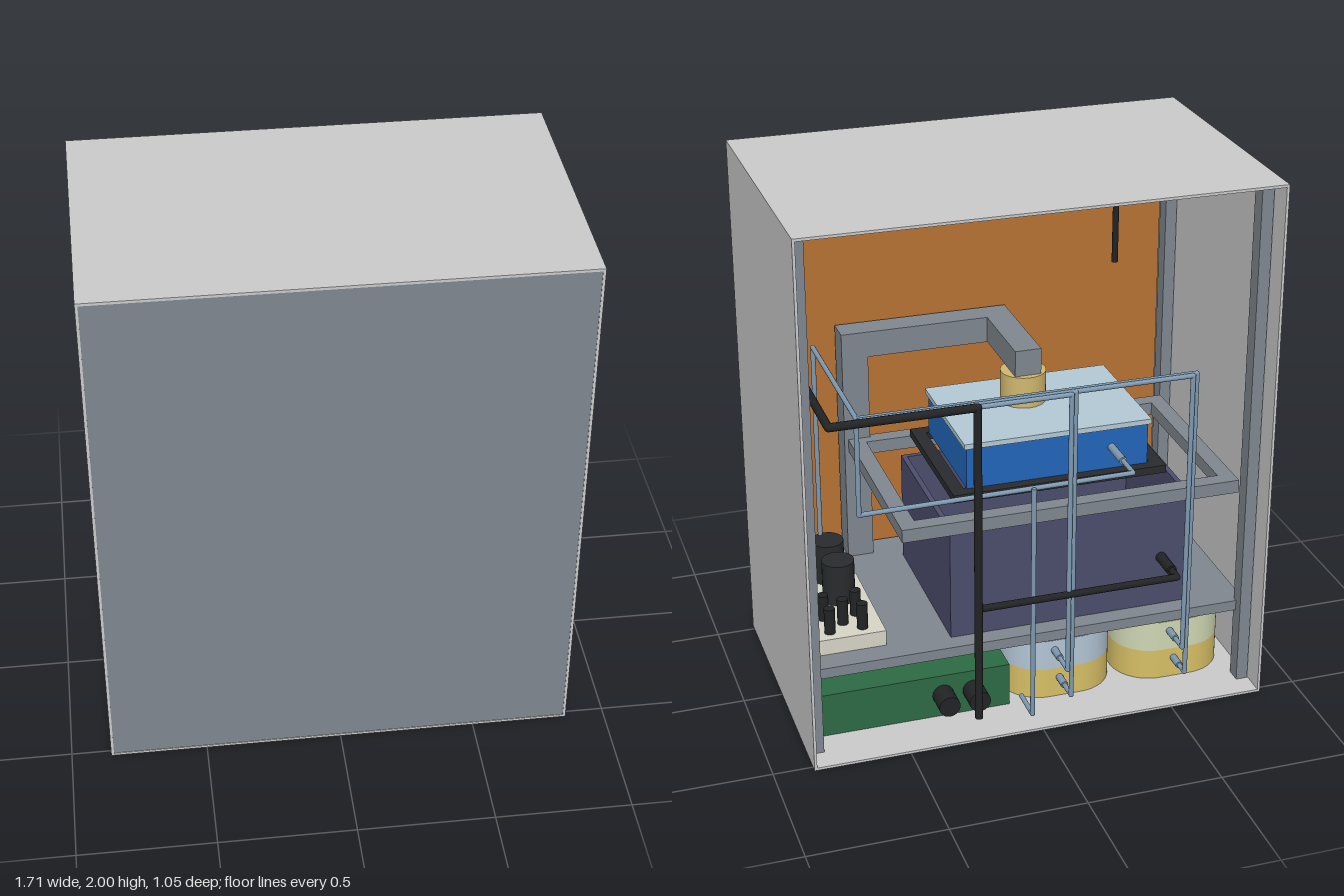
import * as THREE from 'three';

const BACK = -0.525; // depths below are measured forward from the open back

export function createModel() {
  const model = new THREE.Group();
  const mats = {};
  const mat = (color) => (mats[color] ??= new THREE.MeshStandardMaterial({ color }));

  const add = (name, geo, color, parent = model) => {
    const m = new THREE.Mesh(geo, mat(color));
    m.name = name;
    parent.add(m);
    return m;
  };
  // box from ranges: x, y and depth
  const box = (name, color, [x0, x1], [y0, y1], [d0, d1]) => {
    const m = add(name, new THREE.BoxGeometry(x1 - x0, y1 - y0, d1 - d0), color);
    m.position.set((x0 + x1) / 2, (y0 + y1) / 2, (d0 + d1) / 2 + BACK);
    return m;
  };
  // upright cylinder standing on y
  const post = (name, color, r, h, x, y, d) => {
    const m = add(name, new THREE.CylinderGeometry(r, r, h, 24), color);
    m.position.set(x, y + h / 2, d + BACK);
    return m;
  };
  // pipe through a list of [x, y, depth] corners
  const pipe = (name, color, r, pts) => {
    const g = new THREE.Group();
    g.name = name;
    const v = pts.map(([x, y, d]) => new THREE.Vector3(x, y, d + BACK));
    for (let i = 0; i < v.length - 1; i++) {
      const dir = v[i + 1].clone().sub(v[i]);
      const seg = add(name + 'Run', new THREE.CylinderGeometry(r, r, dir.length(), 12), color, g);
      seg.position.copy(v[i]).addScaledVector(dir, 0.5);
      seg.quaternion.setFromUnitVectors(new THREE.Vector3(0, 1, 0), dir.normalize());
      if (i) add(name + 'Elbow', new THREE.SphereGeometry(r, 12, 8), color, g).position.copy(v[i]);
    }
    model.add(g);
  };

  const SHELL = 0xcccccc, STEEL = 0x80878f, DARK = 0x2a2b2e, BLACK = 0x222324, WATER = 0x7f9ab2;

  // cabinet shell, open at the back
  for (const s of [-1, 1]) {
    const x = s * 0.85;
    box('sideWall', SHELL, [x - 0.005, x + 0.005], [0, 2], [0, 1.05]);
  }
  box('floor', SHELL, [-0.845, 0.845], [0, 0.01], [0, 1.05]);
  box('roof', SHELL, [-0.845, 0.845], [1.99, 2], [0, 1.05]);
  box('frontPanel', STEEL, [-0.845, 0.845], [0.01, 1.99], [1.03, 1.048]);
  box('innerPanel', 0xb87333, [-0.8, 0.8], [0.01, 1.985], [1.015, 1.03]);

  // corner uprights
  for (const x of [-0.82, 0.82])
    for (const d of [0.12, 0.975])
      box('upright', STEEL, [x - 0.022, x + 0.022], [0.01, 1.99], [d - 0.03, d + 0.03]);

  // lower shelf
  box('shelf', STEEL, [-0.83, 0.83], [0.29, 0.33], [0.13, 1.0]);

  // open rectangular solids
  const rect = (T, w, h) => {
    const s = new T();
    s.moveTo(-w / 2, -h / 2).lineTo(w / 2, -h / 2).lineTo(w / 2, h / 2).lineTo(-w / 2, h / 2).closePath();
    return s;
  };
  const ring = (name, color, [x0, x1], [y0, y1], [d0, d1], t) => {
    const s = rect(THREE.Shape, x1 - x0, d1 - d0);
    s.holes.push(rect(THREE.Path, x1 - x0 - 2 * t, d1 - d0 - 2 * t));
    const geo = new THREE.ExtrudeGeometry(s, { depth: y1 - y0, bevelEnabled: false });
    geo.rotateX(-Math.PI / 2);
    add(name, geo, color).position.set((x0 + x1) / 2, y0, (d0 + d1) / 2 + BACK);
  };

  // main tank with its support frame
  ring('tankWalls', 0x4c4e6c, [-0.64, 0.29], [0.33, 0.76], [0.2, 0.85], 0.02);
  box('tankFloor', 0x4c4e6c, [-0.62, 0.27], [0.33, 0.35], [0.22, 0.83]);
  ring('supportFrame', STEEL, [-0.79, 0.48], [0.78, 0.83], [0.14, 0.92], 0.06);

  // blue reservoir with lid and filler neck
  ring('reservoirRim', DARK, [-0.56, 0.25], [0.83, 0.86], [0.28, 0.86], 0.05);
  box('reservoir', 0x2266bb, [-0.5, 0.19], [0.86, 1.02], [0.32, 0.81]);
  box('reservoirLid', 0xb4cad6, [-0.51, 0.2], [1.02, 1.04], [0.31, 0.82]);
  post('fillerNeck', 0xd2b970, 0.085, 0.12, -0.12, 1.04, 0.62);

  // square duct
  box('ductRiser', STEEL, [0.395, 0.495], [0.33, 1.26], [0.9, 1.0]);
  box('ductCrossbar', STEEL, [-0.17, 0.395], [1.16, 1.26], [0.9, 1.0]);
  box('ductArm', STEEL, [-0.17, -0.07], [1.16, 1.26], [0.56, 0.9]);

  // display unit and its cable
  box('displayUnit', BLACK, [-0.72, -0.43], [1.81, 1.94], [0.97, 1.015]);
  pipe('displayCable', BLACK, 0.012, [[-0.6, 1.82, 0.96], [-0.6, 1.4, 0.96]]);

  // pump block with pumps and valve stems
  box('pumpBlock', 0xd8d6c8, [0.525, 0.775], [0.33, 0.39], [0.22, 0.66]);
  for (const d of [0.5, 0.66]) post('pump', DARK, 0.06, 0.16, 0.63, 0.39, d);
  for (const [x, d] of [[0.72, 0.27], [0.72, 0.37], [0.6, 0.27], [0.6, 0.37], [0.66, 0.32]])
    post('valveStem', BLACK, 0.02, 0.1, x, 0.39, d);

  // control box with knobs
  box('controlBox', 0x2d6a44, [0.07, 0.79], [0.01, 0.18], [0.19, 0.85]);
  for (const x of [0.325, 0.21]) {
    const k = add('knob', new THREE.CylinderGeometry(0.04, 0.04, 0.09, 24), BLACK);
    k.rotation.x = Math.PI / 2;
    k.position.set(x, 0.1, 0.145 + BACK);
  }

  // rounded canisters in two tiers
  const canister = (name, color, x, y, h) => {
    const s = new THREE.Shape(), a = 0.21, b = 0.27, r = 0.15;
    s.absarc(a - r, b - r, r, 0, Math.PI / 2);
    s.absarc(r - a, b - r, r, Math.PI / 2, Math.PI);
    s.absarc(r - a, r - b, r, Math.PI, Math.PI * 1.5);
    s.absarc(a - r, r - b, r, Math.PI * 1.5, Math.PI * 2);
    const geo = new THREE.ExtrudeGeometry(s, { depth: h, bevelEnabled: false, curveSegments: 12 });
    geo.rotateX(-Math.PI / 2);
    add(name, geo, color).position.set(x, y, 0.46 + BACK);
  };
  for (const [x, top] of [[-0.15, 0xb4c6d6], [-0.59, 0xd0d8b4]]) {
    canister('lowerCanister', 0xd8c066, x, 0.01, 0.12);
    canister('upperCanister', top, x, 0.13, 0.12);
  }

  // black pipework
  pipe('mainPipe', BLACK, 0.015,
    [[0.752, 0.39, 0.48], [0.752, 1.314, 0.48], [0.752, 1.314, 0.033], [0.236, 1.314, 0.033], [0.236, 0.08, 0.033]]);
  pipe('tankFeed', BLACK, 0.013, [[0.236, 0.527, 0.04], [-0.518, 0.527, 0.04], [-0.518, 0.527, 0.2]]);
  pipe('tankFitting', BLACK, 0.02, [[-0.518, 0.527, 0.09], [-0.518, 0.527, 0.2]]);

  // water lines along the back
  pipe('reservoirLine', WATER, 0.009,
    [[0.645, 0.55, 0.71], [0.645, 1.31, 0.71], [0.645, 1.31, 0.085], [0.645, 0.945, 0.085],
      [-0.36, 0.945, 0.1], [-0.36, 0.945, 0.32]]);
  pipe('reservoirFitting', WATER, 0.015, [[-0.36, 0.945, 0.2], [-0.36, 0.945, 0.32]]);
  pipe('drainLine', WATER, 0.009, [[0.02, 0.956, 0.07], [0.02, 0.03, 0.07], [0.02, 0.03, 0.2]]);
  for (const [x, d, low] of [[-0.105, 0.045, 0.21], [-0.125, 0.06, 0.09], [-0.56, 0.065, 0.21], [-0.58, 0.08, 0.09]]) {
    pipe('canisterLine', WATER, 0.009, [[0.645, 1.31, d], [x, 1.31, d], [x, low, d], [x, low, 0.2]]);
    pipe('canisterFitting', WATER, 0.014, [[x, low, 0.13], [x, low, 0.2]]);
  }

  return model;
}
